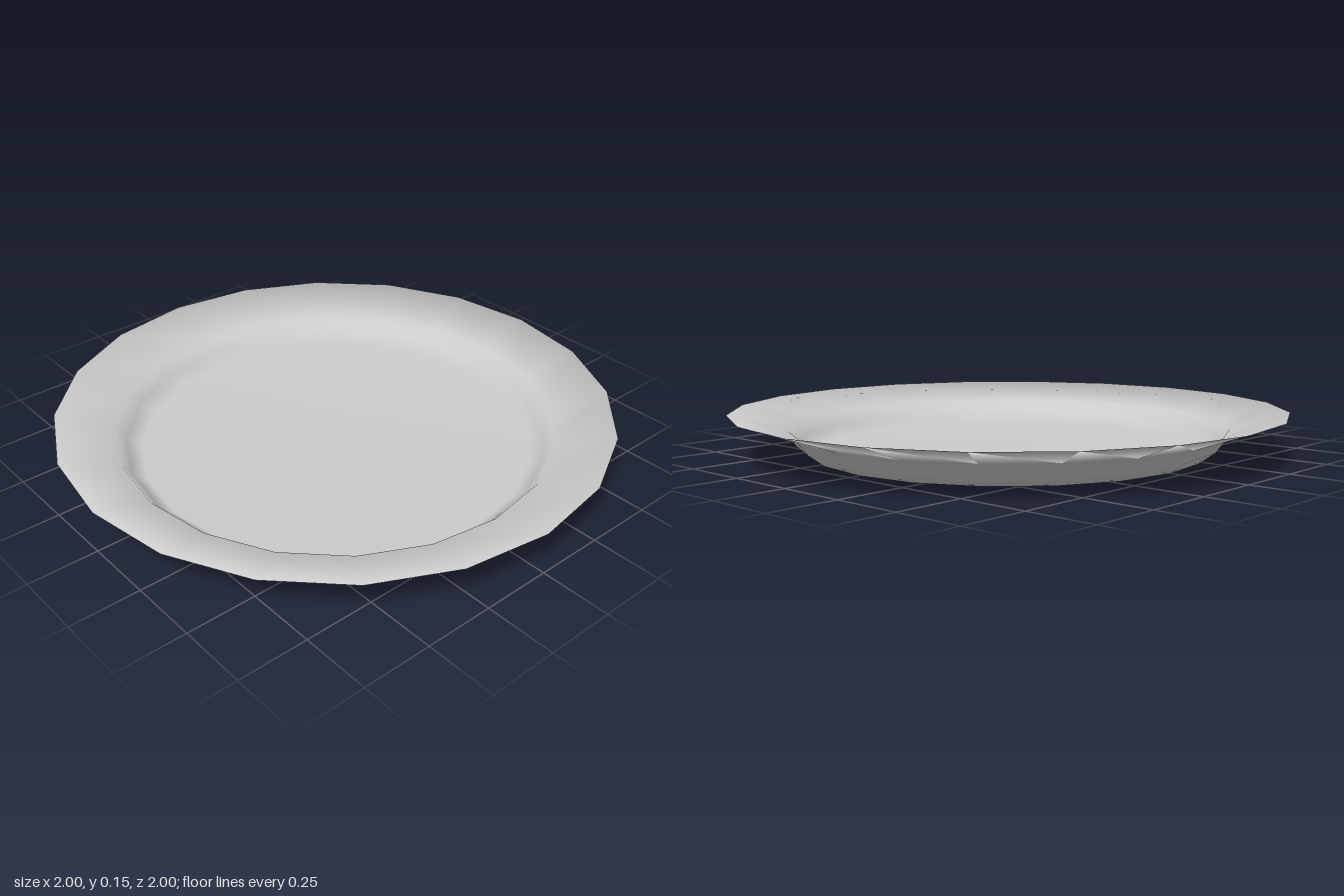
import * as THREE from 'three';

export function createModel() {
  const group = new THREE.Group();
  group.name = 'dinnerPlate';

  // Closed thin shell: underside from the centre out to the rim, then the inside back to the centre
  const profile = [
    [0, 0], [0.71, 0], [0.765, 0.04], [0.8, 0.085], // foot and outer wall
    [1, 0.153],                                     // sharp rim
    [0.79, 0.091], [0.755, 0.046], [0.705, 0.008], [0, 0.008], // inner wall and floor
  ].map(([r, y]) => new THREE.Vector2(r, y));

  const plate = new THREE.Mesh(
    new THREE.LatheGeometry(profile, 20),
    new THREE.MeshStandardMaterial({ color: 0xcccccc })
  );
  plate.name = 'plate';
  group.add(plate);
  return group;
}
